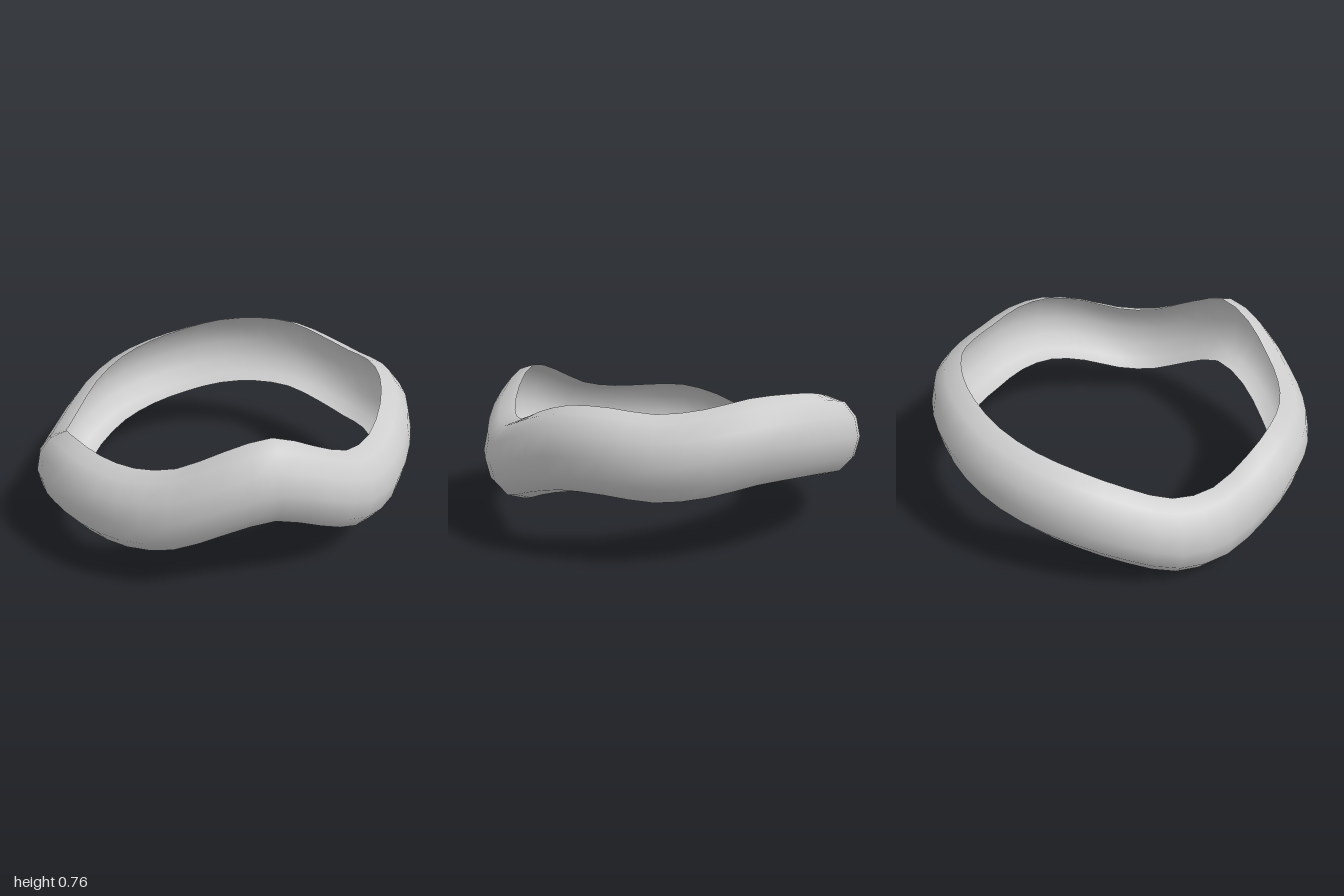
import * as THREE from 'three';

// Centre height of the band every 15 degrees, from +x round through +z
const HEIGHTS = [
  0.515, 0.495, 0.517, 0.51, 0.45, 0.378, 0.383, 0.475, 0.56, 0.505, 0.405, 0.363,
  0.36, 0.358, 0.305, 0.22, 0.223, 0.31, 0.388, 0.44, 0.485, 0.53, 0.553, 0.553,
];
const SEGMENTS = 48;      // steps round the ring
const ARC = 6;            // steps across the band
const INNER = 0.83;       // radius of the open edges
const DEPTH = 0.17;       // outward bulge
const HALF_HEIGHT = 0.207;

// Smooth closed interpolation of the heights
function waveHeight(t) {
  const n = HEIGHTS.length;
  const i = Math.floor(t * n);
  const f = t * n - i;
  const [a, b, c, d] = [-1, 0, 1, 2].map((k) => HEIGHTS[(i + k + n) % n]);
  return b + 0.5 * f * (c - a + f * (2 * a - 5 * b + 4 * c - d + f * (3 * (b - c) + d - a)));
}

// Half-elliptical shell swept round the ring, joined without a seam
function bandGeometry() {
  const positions = [];
  const indices = [];
  const row = ARC + 1;
  for (let i = 0; i < SEGMENTS; i++) {
    const t = i / SEGMENTS;
    const angle = t * Math.PI * 2;
    const next = (i + 1) % SEGMENTS;
    for (let j = 0; j <= ARC; j++) {
      const v = (j / ARC - 0.5) * Math.PI;
      const r = INNER + DEPTH * Math.cos(v);
      positions.push(r * Math.cos(angle), waveHeight(t) + HALF_HEIGHT * Math.sin(v), r * Math.sin(angle));
      if (j < ARC) {
        const a = i * row + j;
        const b = next * row + j;
        indices.push(a, a + 1, b, b, a + 1, b + 1);
      }
    }
  }
  const geometry = new THREE.BufferGeometry();
  geometry.setAttribute('position', new THREE.Float32BufferAttribute(positions, 3));
  geometry.setIndex(indices);
  geometry.computeVertexNormals();
  return geometry;
}

export function createModel() {
  const group = new THREE.Group();
  group.name = 'wavyRing';
  const material = new THREE.MeshStandardMaterial({ color: 0xcccccc, side: THREE.DoubleSide });
  const band = new THREE.Mesh(bandGeometry(), material);
  band.name = 'band';
  group.add(band);
  return group;
}
